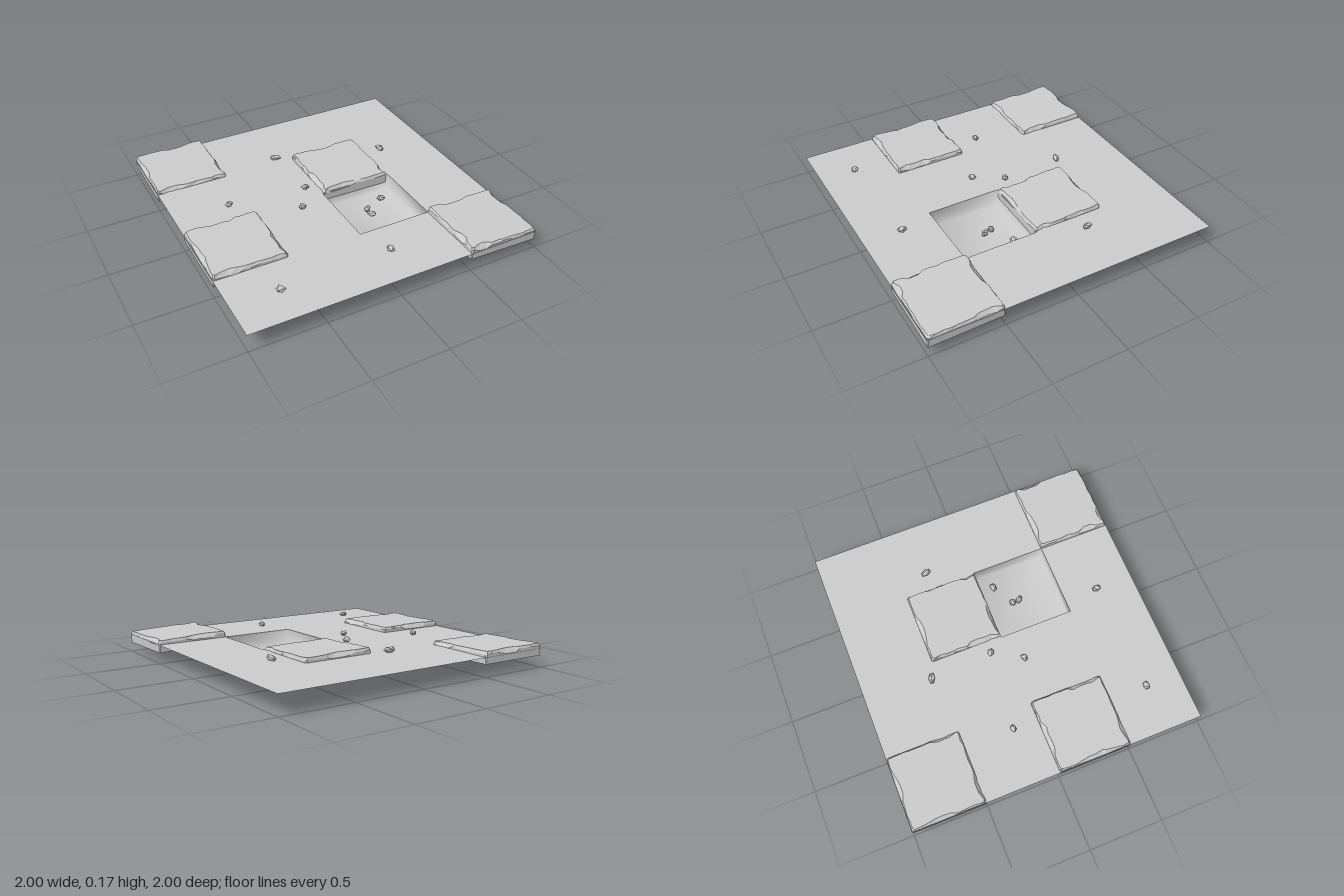
import * as THREE from 'three';
import { mergeVertices } from 'three/addons/utils/BufferGeometryUtils.js';

const GROUND = 0.125;

function seeded(seed) {
  let s = seed;
  return () => ((s = (s * 16807) % 2147483647) - 1) / 2147483646;
}

const stone = new THREE.MeshStandardMaterial({ color: 0xcccccc, flatShading: true, side: THREE.DoubleSide });
const smooth = new THREE.MeshStandardMaterial({ color: 0xcccccc, side: THREE.DoubleSide });

function add(parent, name, geometry, material) {
  const mesh = new THREE.Mesh(geometry, material);
  mesh.name = name;
  parent.add(mesh);
  return mesh;
}

// Stone slab: straight skirt open below, chipped rim, flat top
function slabGeometry(seed) {
  const rnd = seeded(seed);
  const perSide = 11, n = perSide * 4;
  const rings = [[], [], []];
  for (let side = 0; side < 4; side++) {
    const chipStart = Math.floor(rnd() * 8), chipLength = 2 + Math.floor(rnd() * 3);
    for (let j = 0; j < perSide; j++) {
      const mid = j > 0 && j < perSide - 1;
      const chipped = mid && j >= chipStart && j < chipStart + chipLength;
      const inset = chipped ? 0.02 + rnd() * 0.012 : 0.004 + rnd() * 0.01;
      const rimY = chipped ? 0.004 + rnd() * 0.008 : 0.014 + rnd() * 0.014;
      const u = (j / (perSide - 1)) * 2 - 1 + (mid ? (rnd() - 0.5) * 0.09 : 0);
      const levels = [[0.247, 0.245, -0.043], [0.247, 0.237, rimY], [0.247 - inset, 0.229, 0.037]];
      levels.forEach(([out, along, y], r) => {
        let x = u * along, z = out;
        for (let k = 0; k < side; k++) [x, z] = [z, -x];
        rings[r].push(x, y, z);
      });
    }
  }
  const positions = [...rings.flat(), 0, 0.037, 0];
  const index = [];
  for (let i = 0; i < n; i++) {
    const k = (i + 1) % n;
    for (let r = 0; r < 2; r++) {
      const a = r * n + i, b = r * n + k;
      index.push(a, b, b + n, a, b + n, a + n);
    }
    index.push(3 * n, 2 * n + i, 2 * n + k);
  }
  const g = new THREE.BufferGeometry();
  g.setAttribute('position', new THREE.Float32BufferAttribute(positions, 3));
  g.setIndex(index);
  const flat = g.toNonIndexed();
  flat.computeVertexNormals();
  return flat;
}

// Small faceted pebble: a squashed, jittered low-poly ball
function pebbleGeometry(seed) {
  const rnd = seeded(seed);
  const g = mergeVertices(new THREE.IcosahedronGeometry(1, 0).deleteAttribute('normal').deleteAttribute('uv'));
  const p = g.attributes.position;
  for (let i = 0; i < p.count; i++) {
    const f = 0.8 + rnd() * 0.35;
    p.setXYZ(i, p.getX(i) * f, p.getY(i) * f, p.getZ(i) * f);
  }
  const flat = g.toNonIndexed();
  flat.computeVertexNormals();
  return flat;
}

// Sunken pit: four walls and a floor sharing soft normals
function pitGeometry() {
  const size = 0.51, depth = GROUND;
  const box = new THREE.BoxGeometry(size, depth, size);
  const keep = [];
  for (let face = 0; face < 6; face++) {
    if (face === 2) continue; // no lid
    for (let t = 0; t < 6; t += 3) {
      const [a, b, c] = [0, 1, 2].map((k) => box.index.getX(face * 6 + t + k));
      keep.push(a, c, b); // faces turned inward
    }
  }
  box.setIndex(keep);
  box.deleteAttribute('normal').deleteAttribute('uv');
  const g = mergeVertices(box);
  g.computeVertexNormals();
  g.translate(0.25, depth / 2, 0.25);
  return g;
}

export function createModel() {
  const model = new THREE.Group();
  model.name = 'stoneFloor';

  // Ground sheet with a square opening over the pit
  const sheet = new THREE.Shape([[-1, -1], [1, -1], [1, 1], [-1, 1]].map(([x, y]) => new THREE.Vector2(x, y)));
  sheet.holes.push(new THREE.Path(
    [[-0.005, 0.005], [-0.005, -0.505], [0.505, -0.505], [0.505, 0.005]].map(([x, y]) => new THREE.Vector2(x, y))));
  const ground = new THREE.ShapeGeometry(sheet);
  ground.rotateX(-Math.PI / 2);
  ground.translate(0, GROUND, 0);
  add(model, 'ground', ground, stone);

  add(model, 'pit', pitGeometry(), smooth);

  // Slabs: x, z, centre height, tilt about x, tilt about z
  const slabs = [
    [-0.75, -0.75, 0.117, 0.025, 0.004],
    [-0.75, 0.25, 0.122, 0.008, -0.004],
    [0.25, -0.25, 0.115, 0.03, -0.016],
    [0.75, 0.75, 0.119, 0.016, -0.036],
  ];
  slabs.forEach(([x, z, y, rx, rz], i) => {
    const slab = add(model, 'slab' + (i + 1), slabGeometry(911 + i * 7793), stone);
    slab.position.set(x, y, z);
    slab.rotation.set(rx, 0, rz);
  });

  // Pebbles: x, z, half length, half width, turn, resting height
  const pebbles = [
    [-0.11, -0.54, 0.045, 0.024, -0.25, GROUND],
    [0.625, -0.31, 0.045, 0.024, 1.8, GROUND],
    [-0.62, -0.165, 0.026, 0.022, 0.4, GROUND],
    [-0.085, -0.11, 0.026, 0.024, 0, GROUND],
    [-0.2, 0.085, 0.029, 0.023, 0.3, GROUND],
    [0.395, 0.1, 0.031, 0.026, 0.2, 0.008],
    [0.24, 0.18, 0.03, 0.024, 0.5, 0.018],
    [0.245, 0.23, 0.036, 0.023, -0.8, 0.008],
    [-0.68, 0.755, 0.031, 0.026, 0, GROUND],
    [0.08, 0.735, 0.036, 0.022, 1.57, GROUND],
  ];
  pebbles.forEach(([x, z, length, width, turn, y], i) => {
    const pebble = add(model, 'pebble' + (i + 1), pebbleGeometry(37 + i * 5471), stone);
    pebble.scale.set(length, 0.021, width);
    pebble.position.set(x, y + 0.016, z);
    pebble.rotation.y = turn;
  });

  return model;
}
